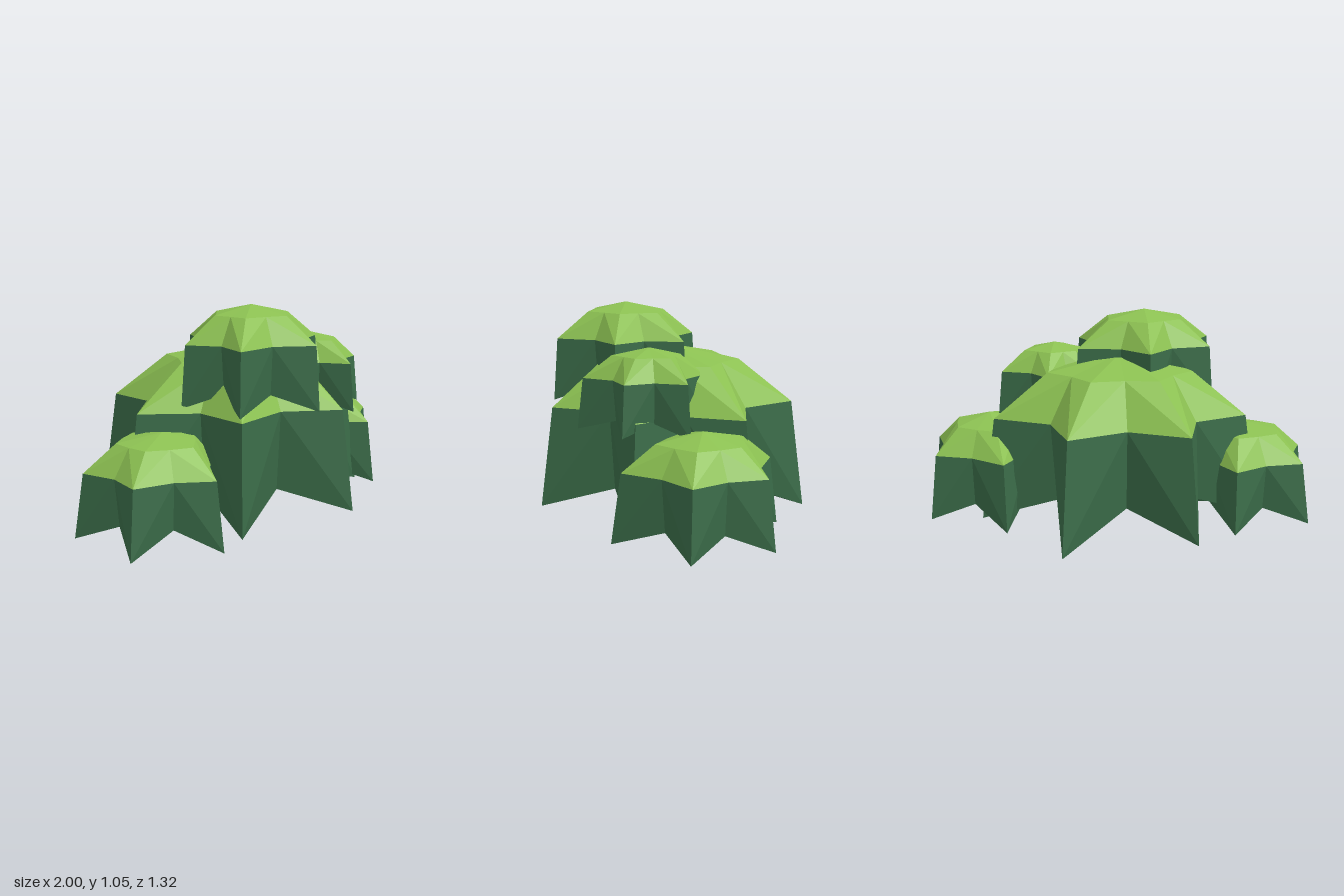
import * as THREE from 'three';

const leafLight = new THREE.MeshStandardMaterial({ color: 0x8cc152, flatShading: true });
const leafDark = new THREE.MeshStandardMaterial({ color: 0x3a6b48, flatShading: true });

// Each clump: centre, heights (apex, shoulder, rim, valley of the hem, hollow underneath),
// rim size relative to the hem, and hem tips as [x, z, y] in order of angle
const clumps = [
  {
    name: 'mainClump', c: [0, 0], apex: 0.85, shoulder: 0.775, rim: 0.56, valley: 0.17, hollow: 0.22, s: 0.9,
    tips: [[0.6, 0.35, 0.05], [0.04, 0.66, 0.065], [-0.55, 0.43, 0.04], [-0.7, -0.14, 0.05],
      [-0.36, -0.62, 0.06], [0.27, -0.66, 0.015], [0.69, -0.21, 0.05]],
  },
  {
    name: 'topClump', c: [-0.13, 0.17], apex: 1.055, shoulder: 1.01, rim: 0.88, valley: 0.65, hollow: 0.68, s: 0.94,
    tips: [[-0.15, -0.22, 0.57], [0.23, -0.04, 0.58], [0.235, 0.33, 0.58], [-0.11, 0.555, 0.57],
      [-0.5, 0.38, 0.58], [-0.48, 0.02, 0.58]],
  },
  {
    name: 'upperLeftClump', c: [0.34, 0.19], apex: 0.88, shoulder: 0.845, rim: 0.74, valley: 0.55, hollow: 0.58, s: 0.92,
    tips: [[0.36, -0.1, 0.5], [0.63, 0.08, 0.49], [0.55, 0.38, 0.5], [0.27, 0.52, 0.5],
      [0.08, 0.29, 0.5], [0.12, 0.03, 0.5]],
  },
  {
    name: 'lowLeftClump', c: [0.67, 0.04], apex: 0.54, shoulder: 0.49, rim: 0.365, valley: 0.12, hollow: 0.17, s: 0.89,
    tips: [[0.95, -0.2, 0.04], [1.0, 0.21, 0.045], [0.62, 0.455, 0.04], [0.27, 0.08, 0.04], [0.55, -0.385, 0.035]],
  },
  {
    name: 'lowRightClump', c: [-0.62, 0.02], apex: 0.495, shoulder: 0.455, rim: 0.325, valley: 0.1, hollow: 0.15, s: 0.89,
    tips: [[-0.56, -0.39, 0.02], [-0.23, 0.07, 0.03], [-0.65, 0.405, 0], [-1.0, 0.165, 0.005], [-0.95, -0.23, 0.02]],
  },
];

// Mesh from a flat list of triangle corners
function triangles(points, material, name) {
  const geometry = new THREE.BufferGeometry().setFromPoints(points);
  geometry.computeVertexNormals();
  const mesh = new THREE.Mesh(geometry, material);
  mesh.name = name;
  return mesh;
}

// Walls between two star rings, folded so creases run from lower tip to upper valley
function band(a, b) {
  const out = [];
  a.forEach((p, i) => {
    const j = (i + 1) % a.length;
    if (i % 2 === 0) out.push(p, a[j], b[i], a[j], b[j], b[i]);
    else out.push(p, a[j], b[j], p, b[j], b[i]);
  });
  return out;
}

function makeClump({ name, c, apex, shoulder, rim, valley, hollow, s, tips }) {
  const n = tips.length;

  // Star ring: tips alternating with drawn-in valleys, both scaled about the centre
  const star = (tipScale, valleyScale, tipY, valleyY) => {
    const k = valleyScale / Math.cos(Math.PI / n);
    const at = (x, y, z, f) => new THREE.Vector3(c[0] + (x - c[0]) * f, y, c[1] + (z - c[1]) * f);
    return tips.flatMap(([x, z, y], i) => {
      const [nx, nz] = tips[(i + 1) % n];
      return [at(x, tipY ?? y, z, tipScale), at((x + nx) / 2, valleyY, (z + nz) / 2, k)];
    });
  };
  const shoulderRing = star(0.52, 0.44, shoulder, shoulder);
  const rimRing = star(s, 0.63, rim, rim);
  const hem = star(1, 0.58, undefined, valley);

  const top = new THREE.Vector3(c[0], apex, c[1]);
  const under = new THREE.Vector3(c[0], hollow, c[1]);
  const cap = band(shoulderRing, rimRing);
  const skirt = band(rimRing, hem);
  hem.forEach((p, i) => {
    const j = (i + 1) % hem.length;
    cap.push(top, shoulderRing[j], shoulderRing[i]);
    skirt.push(under, p, hem[j]);
  });

  const group = new THREE.Group();
  group.name = name;
  group.add(triangles(cap, leafLight, 'leafCap'), triangles(skirt, leafDark, 'leafSkirt'));
  return group;
}

export function createModel() {
  const bush = new THREE.Group();
  bush.name = 'bush';
  clumps.forEach((clump) => bush.add(makeClump(clump)));
  return bush;
}
